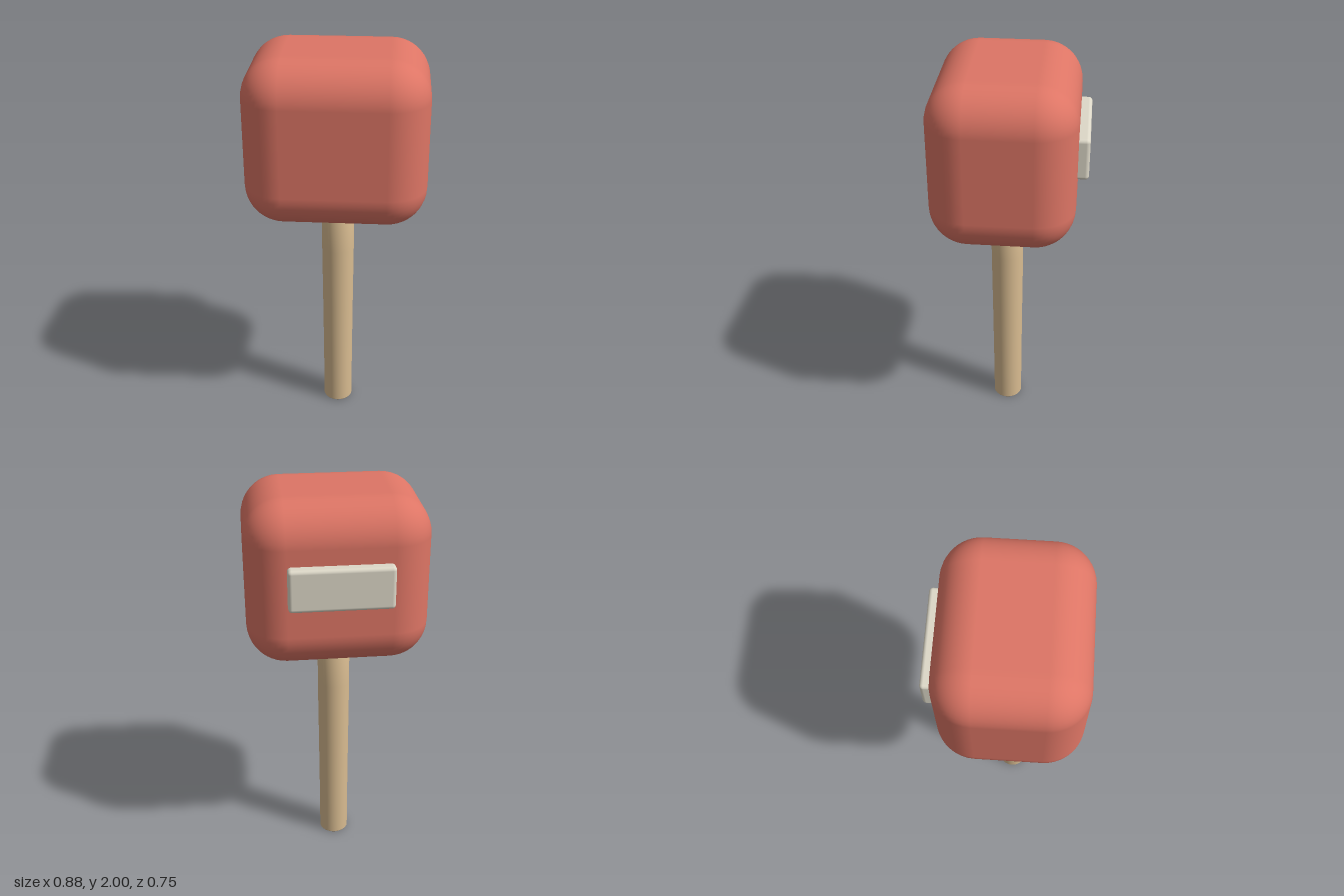
import * as THREE from 'three';
import { RoundedBoxGeometry } from 'three/addons/geometries/RoundedBoxGeometry.js';

const AXIS_Z = 0.025; // shared centre line of head and handle

function addPart(group, name, geometry, color, x, y, z) {
  const mesh = new THREE.Mesh(geometry, new THREE.MeshStandardMaterial({ color }));
  mesh.name = name;
  mesh.position.set(x, y, z);
  group.add(mesh);
  return mesh;
}

export function createModel() {
  const group = new THREE.Group();
  group.name = 'mallet';

  // Soft block head
  addPart(group, 'head', new RoundedBoxGeometry(0.875, 0.81, 0.695, 6, 0.19), 0xdd7565, 0, 1.595, AXIS_Z);

  // Round handle, slightly thicker at the top, with a softened foot edge
  const profile = [[0, 0], [0.072, 0], [0.076, 0.006], [0.077, 0.3], [0.079, 0.6], [0.082, 0.95], [0.081, 1.3], [0, 1.3]]
    .map(([r, y]) => new THREE.Vector2(r, y));
  addPart(group, 'handle', new THREE.LatheGeometry(profile, 32), 0xd9bc91, 0, 0, AXIS_Z);

  // Pale label plate on the back of the head
  addPart(group, 'backPlate', new RoundedBoxGeometry(0.49, 0.205, 0.075, 3, 0.018), 0xddd8c8, 0, 1.633, -0.337);

  return group;
}
